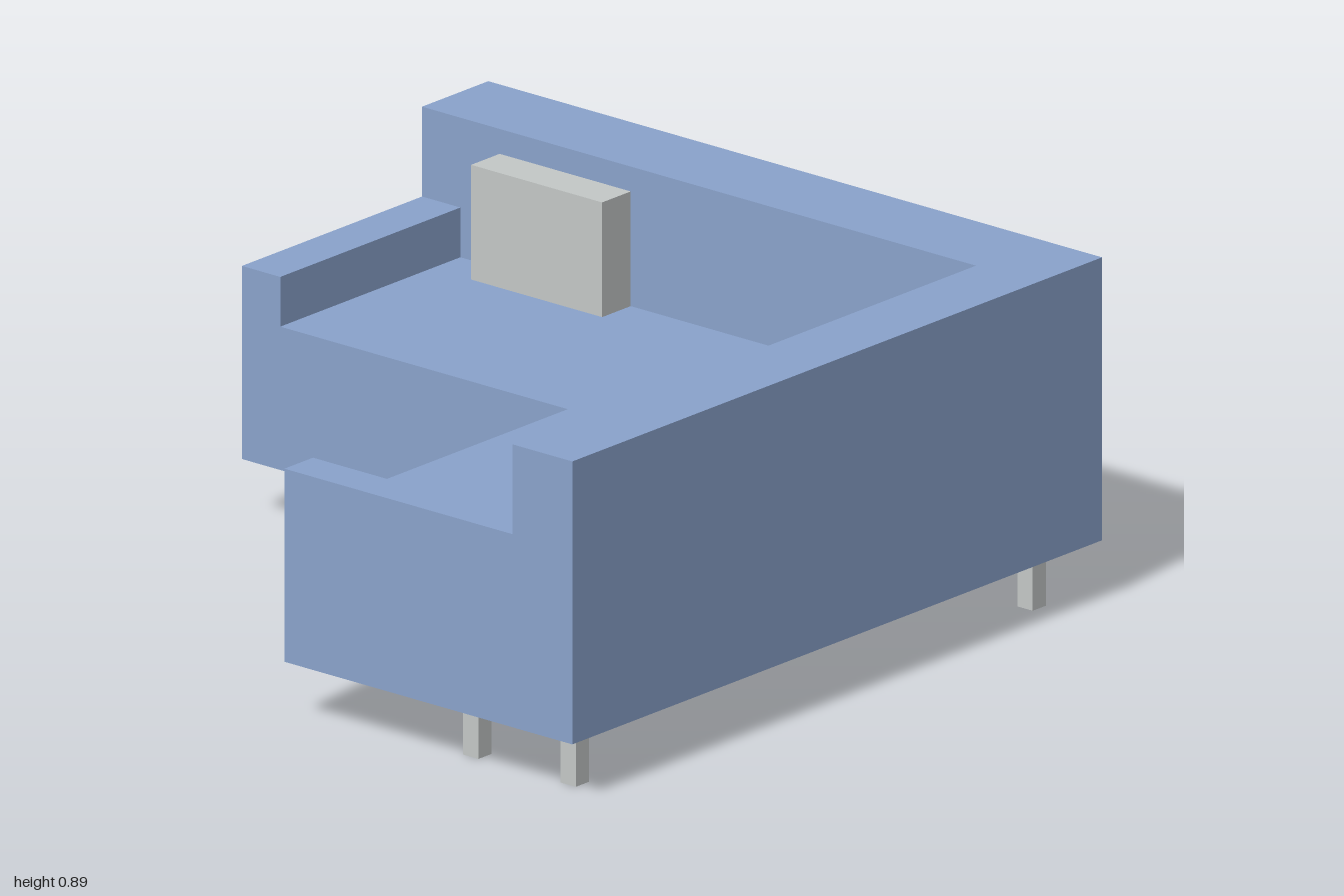
import * as THREE from 'three';

const BASE = 0.155, SEAT = 0.53, ARM = 0.66, TOP = 0.895;

// Vertical prism over a floor outline of [x, z] points
function prism(outline, y0, y1) {
  const shape = new THREE.Shape(outline.map(([x, z]) => new THREE.Vector2(x, -z)));
  const geometry = new THREE.ExtrudeGeometry(shape, { depth: y1 - y0, bevelEnabled: false });
  return geometry.rotateX(-Math.PI / 2).translate(0, y0, 0);
}

// Box given by its limits on each axis
function block(x0, x1, y0, y1, z0, z1) {
  return new THREE.BoxGeometry(x1 - x0, y1 - y0, z1 - z0)
    .translate((x0 + x1) / 2, (y0 + y1) / 2, (z0 + z1) / 2);
}

// L-shaped outline around the back corner, with its inner corner at (x, z)
const corner = (x, z) => [[-1, -1], [1, -1], [1, 1], [x, 1], [x, z], [-1, z]];

export function createModel() {
  const sofa = new THREE.Group();
  sofa.name = 'cornerSofa';
  const fabric = new THREE.MeshStandardMaterial({ color: 0x8aa3cc });
  fabric.name = 'blue fabric';
  const grey = new THREE.MeshStandardMaterial({ color: 0xc4c8c7 });
  grey.name = 'light grey';

  const add = (name, geometry, material) => {
    const mesh = new THREE.Mesh(geometry, material);
    mesh.name = name;
    sofa.add(mesh);
  };

  // Upholstered body
  add('seatBase', prism(corner(0.062, -0.07), BASE, SEAT), fabric);
  add('backrest', prism(corner(0.805, -0.75), SEAT, TOP), fabric);
  add('sideArm', block(-1, -0.875, SEAT, ARM, -0.75, -0.07), fabric);
  add('frontArm', block(0.062, 0.805, SEAT, ARM, 0.892, 1), fabric);

  // Loose cushion against the back
  add('cushion', block(-0.747, -0.32, SEAT, 0.83, -0.75, -0.642), grey);

  // Square legs
  const r = 0.025;
  for (const [x, z] of [[-0.905, -0.85], [-0.905, -0.213], [0.9, -0.85], [0.9, 0.875], [0.583, 0.875]]) {
    add('leg', block(x - r, x + r, 0, BASE, z - r, z + r), grey);
  }
  return sofa;
}
